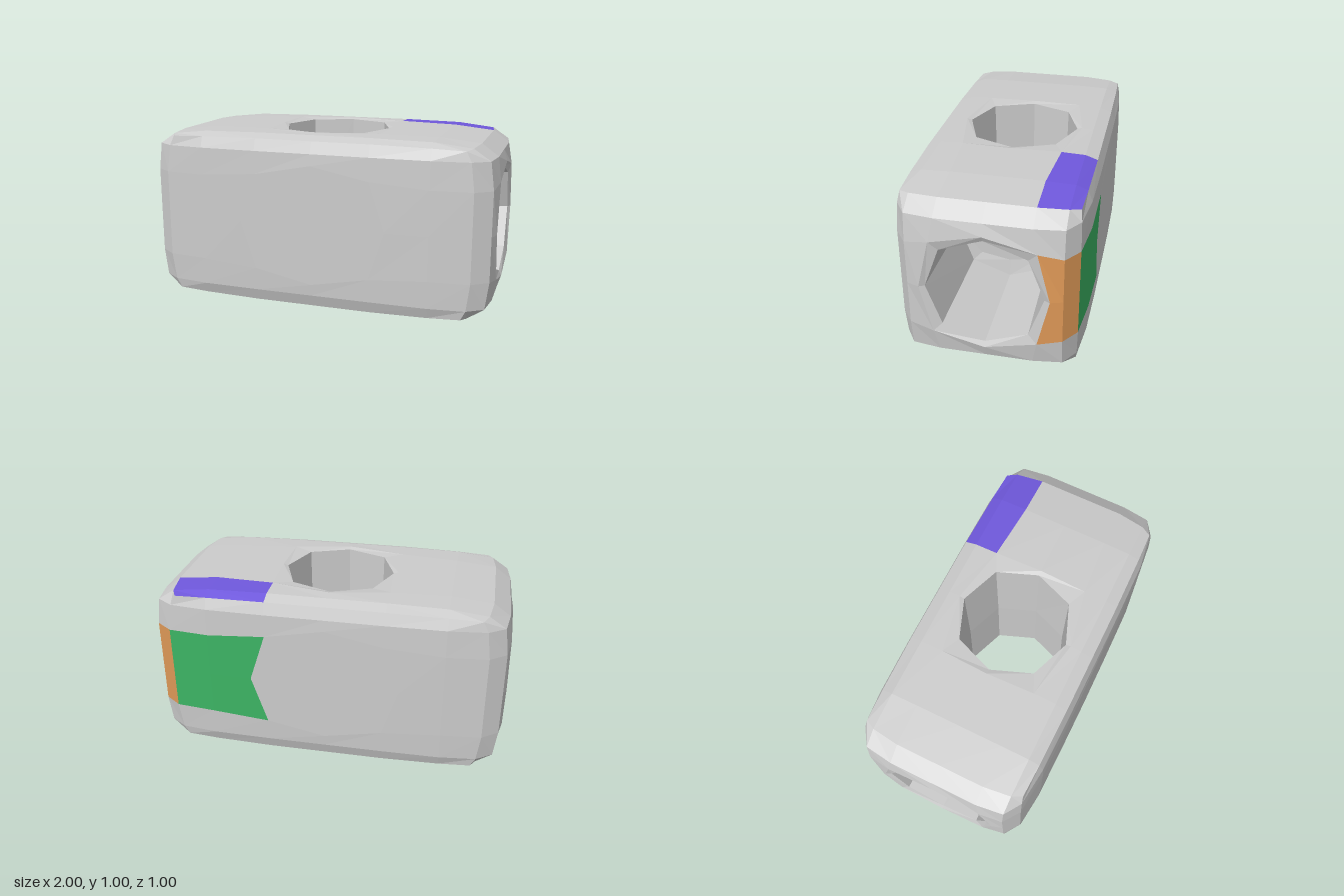
import * as THREE from 'three';

// Half-positions of the grid lines from the centre to the outer edge, per axis
const LINES = [[0, 0.33, 0.66, 1], [0, 0.25, 0.405, 0.5], [0, 0.25, 0.405, 0.5]];
// How far a face falls back at each line, which rounds off the block
const DROP = [0, 0, 0.005, 0.028];
// The eight directions around a hole
const AROUND = [[1, 0], [1, 1], [0, 1], [-1, 1], [-1, 0], [-1, -1], [0, -1], [1, -1]];

// Point of the rounded block for grid indices -3..3 on each axis
function blockPoint(index) {
  return index.map((i, axis) => {
    const level = Math.abs(i);
    let v = LINES[axis][level];
    if (level === 3) {
      const fall = index.reduce((s, o, k) => (k === axis ? s : s + DROP[Math.abs(o)]), 0);
      v -= Math.min(fall, 0.04) * (axis === 0 ? 4 : 1);
    }
    return Math.sign(i) * v;
  });
}

// Point of a face: its middle ring of lines is widened into an octagon
function facePoint(n, s, i, j) {
  const a = (n + 1) % 3, b = (n + 2) % 3;
  const index = [];
  index[n] = 3 * s; index[a] = i; index[b] = j;
  const p = blockPoint(index);
  if (Math.abs(i) <= 1 && Math.abs(j) <= 1) {
    const widen = (axis, own, other) => {
      if (!own) return 0;
      if (!other) return own * (n === 2 && axis === 0 ? 0.42 : 0.34);
      return own * (axis === 0 ? 0.33 : 0.275);
    };
    p[a] = widen(a, i, j);
    p[b] = widen(b, j, i);
  }
  return p;
}

// Octagonal rings leading inwards from a face: [distance from centre, axis radius, diagonal offset]
const RINGS = [
  [[0.985, 0.31, 0.228], [0.4, 0.297, 0.217], [0.385, 0.2, 0.168], [0.385, 0, 0]],  // blind end socket
  [[0.492, 0.312, 0.226], [0, 0.303, 0.219]],                                        // half of the through hole
  [[0.5, 0, 0]],                                                                     // closed side
];

// Which cells belong to the coloured panels (cell indices are the lower grid lines)
function panelOf(n, s, i, j) {
  if (n === 1 && s > 0 && i <= -2 && j >= 1) return 'topPanel';               // a = z, b = x
  if (n === 0 && s > 0 && Math.abs(i + 0.5) < 1 && j <= -2) return 'endPanel';   // a = y, b = z
  if (n === 2 && s < 0 && i >= 1 && Math.abs(j + 0.5) < 1) return 'backPanel';   // a = x, b = y
  return 'block';
}

const COLORS = { block: 0xcccccc, holes: 0xcccccc, topPanel: 0x6f58dc, endPanel: 0xe09a58, backPanel: 0x3cb464 };

export function createModel() {
  const group = new THREE.Group();
  const parts = {};
  for (const name in COLORS) parts[name] = [];

  // Adds a quad, leaving out triangles that collapse to a line
  const addQuad = (name, corners, s) => {
    const v = (s > 0 ? corners : [...corners].reverse()).map(p => new THREE.Vector3(...p));
    for (const [x, y, z] of [[0, 1, 2], [0, 2, 3]]) {
      const tri = new THREE.Triangle(v[x], v[y], v[z]);
      if (tri.getArea() < 1e-7) continue;
      for (const p of [tri.a, tri.b, tri.c]) parts[name].push(p.x, p.y + 0.5, p.z);
    }
  };

  for (let n = 0; n < 3; n++) {
    for (const s of [1, -1]) {
      // Outer cells of the face
      for (let i = -3; i < 3; i++) {
        for (let j = -3; j < 3; j++) {
          if (Math.abs(i + 0.5) < 1 && Math.abs(j + 0.5) < 1) continue;
          const at = (di, dj) => facePoint(n, s, i + di, j + dj);
          addQuad(panelOf(n, s, i, j), [at(0, 0), at(1, 0), at(1, 1), at(0, 1)], s);
        }
      }
      // Middle of the face: shallow rim, hole wall and floor
      let outer = AROUND.map(([i, j]) => facePoint(n, s, i, j));
      RINGS[n].forEach(([depth, radius, diagonal], step) => {
        const inner = AROUND.map(([i, j]) => {
          const r = i && j ? diagonal : radius;
          const p = [];
          p[n] = s * depth; p[(n + 1) % 3] = i * r; p[(n + 2) % 3] = j * r;
          return p;
        });
        for (let k = 0; k < 8; k++) {
          const m = (k + 1) % 8;
          addQuad(step ? 'holes' : 'block', [outer[k], outer[m], inner[m], inner[k]], s);
        }
        outer = inner;
      });
    }
  }

  for (const name in parts) {
    const geometry = new THREE.BufferGeometry();
    geometry.setAttribute('position', new THREE.Float32BufferAttribute(parts[name], 3));
    geometry.computeVertexNormals();
    const mesh = new THREE.Mesh(geometry, new THREE.MeshStandardMaterial({ color: COLORS[name], flatShading: true }));
    mesh.name = name;
    group.add(mesh);
  }
  return group;
}
